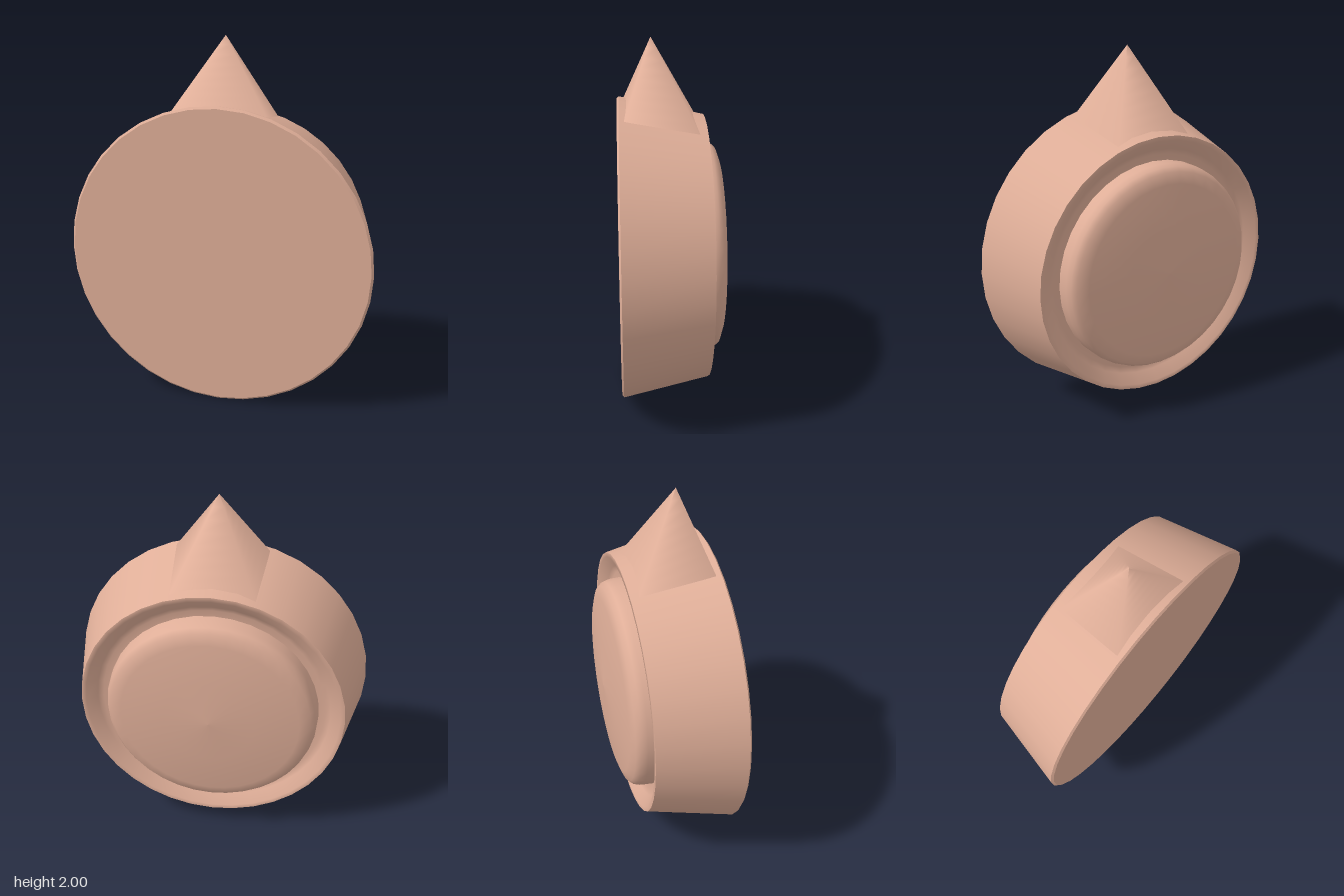
import * as THREE from 'three';

const SEGMENTS = 36;
const CENTER_Y = 0.835;
const material = new THREE.MeshStandardMaterial({ color: 0xdfae98, side: THREE.DoubleSide });

// Turned part around the z axis; points are [radius, z], listed from front to back.
// A repeated point keeps a sharp edge.
function turned(name, points) {
  const geometry = new THREE.LatheGeometry(points.map(([r, z]) => new THREE.Vector2(r, -z)), SEGMENTS);
  geometry.rotateX(-Math.PI / 2);
  const mesh = new THREE.Mesh(geometry, material);
  mesh.name = name;
  mesh.position.y = CENTER_Y;
  return mesh;
}

// Four-sided spike whose base follows the tapered body and whose tip leans forward
function spike() {
  const geometry = new THREE.ConeGeometry(Math.SQRT2, 1, 4, 8, true);
  geometry.rotateY(Math.PI / 4);
  geometry.translate(0, 0.5, 0);
  const p = geometry.attributes.position;
  for (let i = 0; i < p.count; i++) {
    const t = p.getY(i);
    const k = Math.max(1 - t, 1e-6);
    const u = p.getX(i) / k, v = p.getZ(i) / k; // -1..1 across the base
    const baseX = u * (0.24 + 0.013 * v);
    const baseY = 1.575 + 0.045 * v;
    const baseZ = 0.058 + 0.197 * v;
    p.setXYZ(i, baseX * (1 - t), baseY + (2 - baseY) * t, baseZ + (0.11 - baseZ) * t);
  }
  const mesh = new THREE.Mesh(geometry, material);
  mesh.name = 'spike';
  return mesh;
}

export function createModel() {
  const group = new THREE.Group();
  group.name = 'spikedDisc';

  // Tapered body with a flat front and a shallow groove in the back
  group.add(turned('body', [
    [0, 0.292], [0.82, 0.292], [0.82, 0.292], [0.832, 0.282], [0.832, 0.282],
    [0.73, -0.178], [0.73, -0.178], [0.705, -0.178], [0.65, -0.135], [0.62, -0.12], [0.56, -0.12],
  ]));

  // Low rounded cap set into the groove
  group.add(turned('backCap', [
    [0.585, -0.12], [0.582, -0.18], [0.572, -0.212], [0.55, -0.238],
    [0.49, -0.258], [0.25, -0.28], [0, -0.293],
  ]));

  group.add(spike());
  return group;
}
